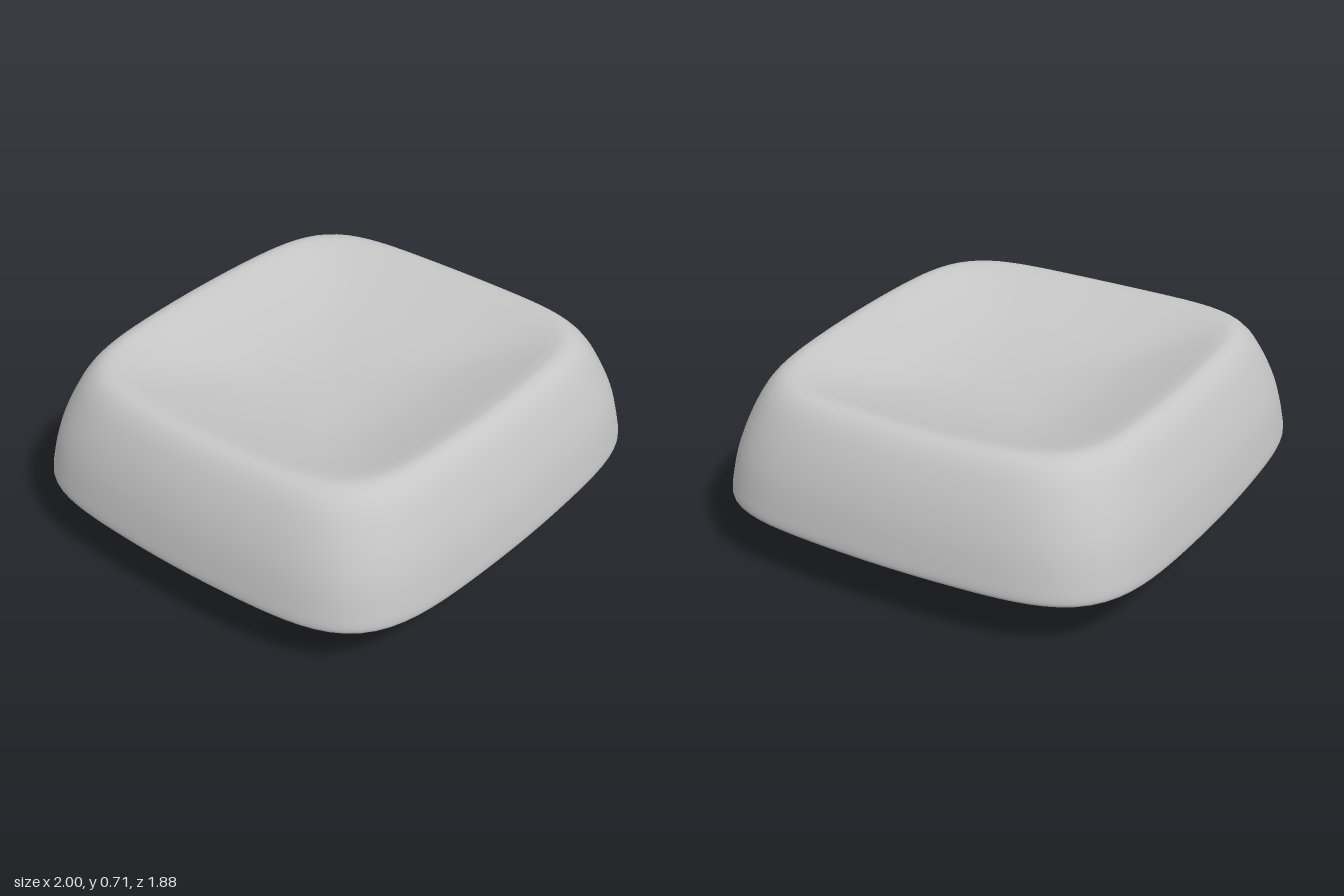
import * as THREE from 'three';

// Sweeps a profile of [halfX, halfZ, y] around a rounded-square (superellipse) outline.
function roundedSquareSweep(points, { power, steps, segments = 128, bow = 0, sag = 0 }) {
  const curve = new THREE.CatmullRomCurve3(
    points.map(([hx, hz, y]) => new THREE.Vector3(hx, y, hz)), false, 'centripetal');
  const position = [], index = [];
  for (let i = 0; i <= steps; i++) {
    const p = curve.getPoint(i / steps);
    const top = THREE.MathUtils.smoothstep(p.y, 0.5, 0.7);
    for (let j = 0; j < segments; j++) {
      const a = (j / segments) * Math.PI * 2;
      const c = Math.cos(a), s = Math.sin(a);
      // bow pulls the corners in so that the sides curve gently
      const r = Math.pow(Math.abs(c) ** power + Math.abs(s) ** power, -1 / power)
        * (1 - bow * Math.sin(2 * a) ** 2);
      // the rim dips slightly at the left and right sides
      position.push(p.x * r * c, p.y - sag * top * c ** 4 * p.x, p.z * r * s);
      if (i < steps) {
        const k = (j + 1) % segments;
        const a0 = i * segments + j, a1 = i * segments + k;
        index.push(a0, a1, a0 + segments, a1, a1 + segments, a0 + segments);
      }
    }
  }
  const geometry = new THREE.BufferGeometry();
  geometry.setAttribute('position', new THREE.Float32BufferAttribute(position, 3));
  geometry.setIndex(index);
  geometry.computeVertexNormals();
  return geometry;
}

export function createModel() {
  const group = new THREE.Group();
  const grey = new THREE.MeshStandardMaterial({ color: 0xc6c6c6 });
  grey.name = 'plain grey';

  const add = (name, geometry, x = 0) => {
    const mesh = new THREE.Mesh(geometry, grey);
    mesh.name = name;
    mesh.position.x = x;
    group.add(mesh);
  };

  // Hollow cap: dished top, rounded rim, curved skirt, lower lip, inner wall, ceiling
  const capProfile = [
    [0, 0, 0.574], [0.2, 0.187, 0.582], [0.4, 0.373, 0.608], [0.58, 0.54, 0.653],
    [0.68, 0.633, 0.684], [0.74, 0.69, 0.702], [0.785, 0.73, 0.708],
    [0.825, 0.768, 0.695], [0.868, 0.81, 0.65], [0.92, 0.86, 0.55],
    [0.967, 0.907, 0.42], [0.992, 0.932, 0.3], [1.0, 0.94, 0.23],
    [0.995, 0.935, 0.216], [0.98, 0.92, 0.21], [0.95, 0.89, 0.21],
    [0.935, 0.875, 0.214], [0.93, 0.87, 0.23], [0.915, 0.855, 0.29],
    [0.89, 0.83, 0.36], [0.855, 0.795, 0.41], [0.8, 0.74, 0.437], [0.74, 0.68, 0.445],
    [0.4, 0.37, 0.445], [0, 0, 0.445],
  ];
  add('cap', roundedSquareSweep(capProfile, { power: 5, steps: 168, bow: 0.024, sag: 0.018 }));

  // Small raised ring in the middle of the ceiling
  const ringProfile = [
    [0.18, 0.18, 0.46], [0.18, 0.18, 0.37], [0.173, 0.173, 0.355], [0.158, 0.158, 0.35],
    [0.142, 0.142, 0.35], [0.127, 0.127, 0.355], [0.12, 0.12, 0.37], [0.12, 0.12, 0.46],
  ];
  add('ceilingRing', roundedSquareSweep(ringProfile, { power: 4, steps: 42, segments: 64 }));

  // Two mounting legs, flared where they meet the ceiling
  const legProfile = [
    [0.09, 0.195, 0.45], [0.072, 0.177, 0.43], [0.065, 0.17, 0.4], [0.065, 0.17, 0.03],
    [0.06, 0.165, 0.007], [0.045, 0.15, 0], [0, 0, 0],
  ];
  for (const side of [-1, 1]) {
    add(side > 0 ? 'leftLeg' : 'rightLeg',
      roundedSquareSweep(legProfile, { power: 12, steps: 36 }), side * 0.327);
  }
  return group;
}
